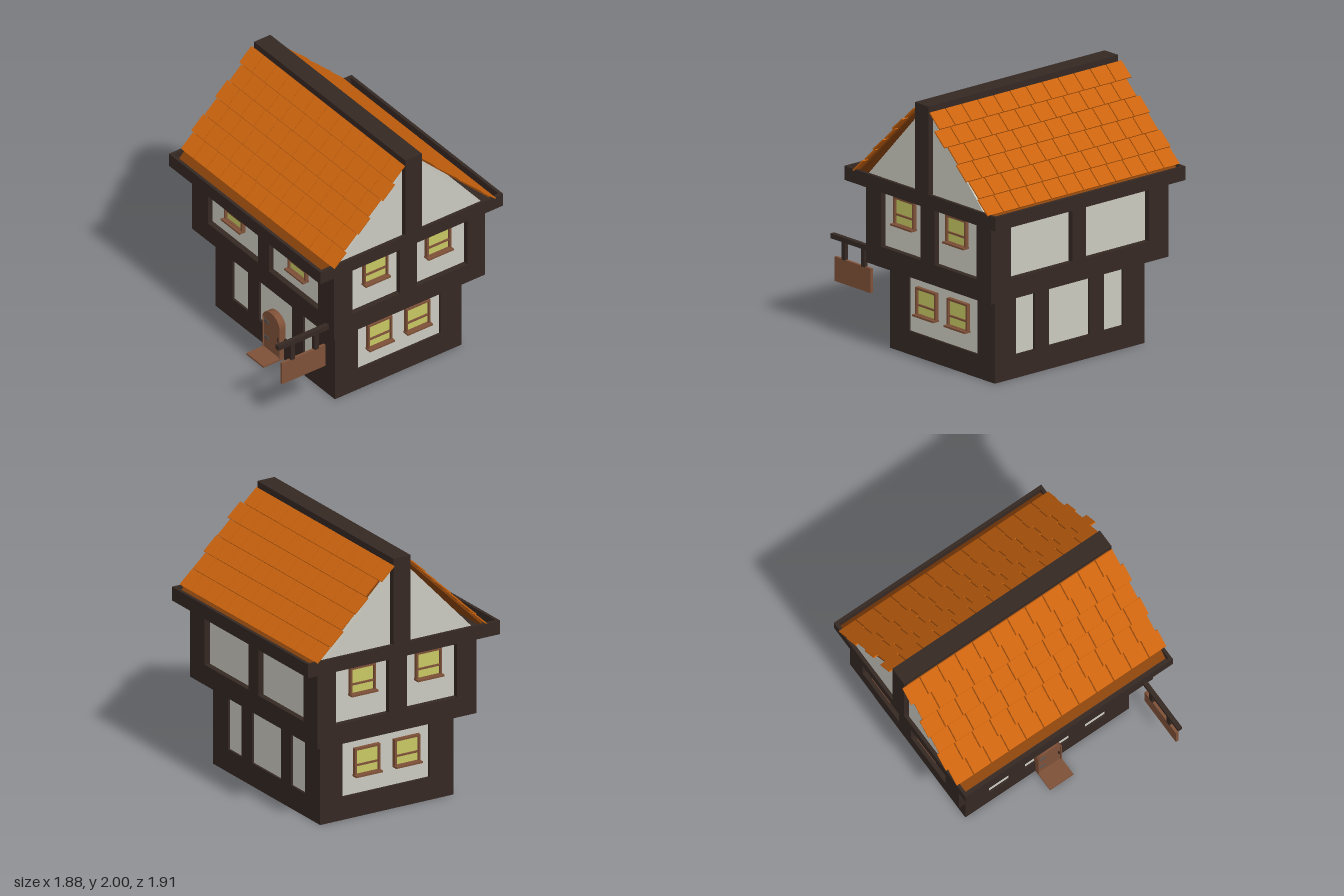
import * as THREE from 'three';

const mat = (color) => new THREE.MeshStandardMaterial({ color, flatShading: true });
const timber = mat(0x352823), plaster = mat(0xcbcac0), wood = mat(0x7f5138), glass = mat(0xc8c864);
const tile = mat(0xcc640e), sheathing = mat(0x8a430c), iron = mat(0x555555);

const CX = -0.0125, CZ = -0.158; // middle of the house

function add(parent, name, geometry, material) {
  const mesh = new THREE.Mesh(geometry, material);
  mesh.name = name;
  parent.add(mesh);
  return mesh;
}

// Box given by its limits on each axis
function box(parent, name, material, x0, x1, y0, y1, z0, z1) {
  const mesh = add(parent, name, new THREE.BoxGeometry(x1 - x0, y1 - y0, z1 - z0), material);
  mesh.position.set((x0 + x1) / 2, (y0 + y1) / 2, (z0 + z1) / 2);
  return mesh;
}

function rect(PathType, x0, x1, y0, y1) {
  return new PathType([[x0, y0], [x1, y0], [x1, y1], [x0, y1]].map(([x, y]) => new THREE.Vector2(x, y)));
}

function extrude(shape, depth) {
  return new THREE.ExtrudeGeometry(shape, { depth, bevelEnabled: false, curveSegments: 10 });
}

// Sash window facing +z, back on z = 0, lower edge on y = 0
function makeWindow() {
  const g = new THREE.Group();
  g.name = 'window';
  const w = 0.108, h = 0.215, b = 0.016;
  const frame = rect(THREE.Shape, -w, w, 0, h);
  frame.holes.push(rect(THREE.Path, -w + b, w - b, b, h - b));
  add(g, 'windowFrame', extrude(frame, 0.03), wood);
  box(g, 'windowPane', glass, -w + b, w - b, b, h - b, 0, 0.012);
  box(g, 'windowBar', wood, -w + b, w - b, 0.077, 0.09, 0, 0.024);
  box(g, 'windowSill', wood, -w - 0.004, w + 0.004, 0, 0.014, 0, 0.055);
  return g;
}

// One storey: plaster core behind four timber frames with openings
function makeStorey(name, o) {
  const g = new THREE.Group();
  g.name = name;
  const [x0, x1] = o.x, [z0, z1] = o.z, [y0, y1] = o.y, r = o.recess;
  const cx = (x0 + x1) / 2, cz = (z0 + z1) / 2, hx = (x1 - x0) / 2, hz = (z1 - z0) / 2;
  box(g, 'plasterInfill', plaster, x0 + r, x1 - r, y0 + 0.02, y1, z0 + r, z1 - r);
  box(g, 'floorTimber', timber, x0 + 0.002, x1 - 0.002, y0, y0 + 0.03, z0 + 0.002, z1 - 0.002);
  const walls = [
    { angle: 0, s: 1, c: cx, half: hx, out: hz, holes: o.frontHoles, windows: o.frontWindows },
    { angle: Math.PI, s: -1, c: cx, half: hx, out: hz, holes: o.frontHoles, windows: [] },
    { angle: Math.PI / 2, s: -1, c: cz, half: hz, out: hx, holes: o.sideHoles, windows: o.sideWindows },
    { angle: -Math.PI / 2, s: 1, c: cz, half: hz, out: hx, holes: o.sideHoles, windows: o.sideWindows },
  ];
  for (const w of walls) {
    const wall = new THREE.Group();
    wall.name = 'wall';
    wall.position.set(cx, 0, cz);
    wall.rotation.y = w.angle;
    const shape = rect(THREE.Shape, -w.half, w.half, y0, y1);
    for (const [a, b] of w.holes) {
      shape.holes.push(rect(THREE.Path, w.s * (a - w.c), w.s * (b - w.c), o.sill, y1 - 0.003));
    }
    const depth = r + 0.02;
    add(wall, 'timberFrame', extrude(shape, depth), timber).position.z = w.out - depth;
    for (const u of w.windows) {
      const win = makeWindow();
      win.position.set(w.s * (u - w.c), w === walls[0] ? o.frontWindowY : o.sideWindowY, w.out - r);
      wall.add(win);
    }
    g.add(wall);
  }
  return g;
}

// One roof slope, running from the ridge down towards +z, with six rows of tiles
function makeSlope(starts) {
  const g = new THREE.Group();
  g.name = 'roofSlope';
  const slope = new THREE.Group();
  slope.position.set(0, 1.95, 0.073);
  slope.rotation.x = 0.772;
  box(slope, 'roofBoards', sheathing, -0.8825, 0.8825, -0.012, 0, 0, 0.98);
  const rowLength = 0.149, pitch = 0.1535;
  starts.forEach((start, row) => {
    for (let i = 0; i < 12; i++) {
      const t = add(slope, 'roofTile', new THREE.BoxGeometry(pitch - 0.009, 0.01, rowLength - 0.003), tile);
      t.position.set(start + pitch * (i + 0.5), 0.009, rowLength * (row + 0.5));
      t.rotation.x = -0.03;
    }
  });
  g.add(slope);
  g.position.set(CX, 0, CZ);
  return g;
}

function archShape(w, h, inset) {
  const s = new THREE.Shape(), r = w - inset, spring = h - 0.09;
  s.moveTo(-r, inset ? 0.01 : 0);
  s.lineTo(r, inset ? 0.01 : 0);
  s.lineTo(r, spring);
  s.absellipse(0, spring, r, 0.09 - inset, 0, Math.PI, false, 0);
  return s;
}

function makeDoor() {
  const g = new THREE.Group();
  g.name = 'door';
  const frame = archShape(0.103, 0.36, 0);
  frame.holes.push(archShape(0.103, 0.36, 0.01));
  add(g, 'doorFrame', extrude(frame, 0.055), wood);
  add(g, 'doorLeaf', extrude(archShape(0.103, 0.36, 0.009), 0.046), wood);
  for (const y of [0.11, 0.25]) box(g, 'doorHinge', iron, -0.097, -0.035, y - 0.011, y + 0.011, 0.04, 0.05);
  box(g, 'doorHandle', timber, 0.075, 0.085, 0.152, 0.188, 0.04, 0.058);
  box(g, 'doorStep', wood, -0.103, 0.103, 0, 0.014, 0.02, 0.198);
  g.position.set(-0.013, 0, 0.383);
  return g;
}

function makeHangingSign() {
  const g = new THREE.Group();
  g.name = 'hangingSign';
  box(g, 'signBeam', timber, 0.74, 0.775, 0.703, 0.74, 0.49, 0.955);
  for (const z of [0.595, 0.805]) box(g, 'signHanger', timber, 0.743, 0.772, 0.57, 0.71, z, z + 0.037);
  box(g, 'signBoard', wood, 0.747, 0.768, 0.39, 0.573, 0.533, 0.918);
  return g;
}

export function createModel() {
  const house = new THREE.Group();
  house.name = 'timberHouse';

  house.add(makeStorey('lowerStorey', {
    x: [-0.728, 0.702], y: [0, 0.66], z: [-0.727, 0.4], recess: 0.017, sill: 0.175,
    frontHoles: [[-0.522, -0.34], [-0.205, 0.185], [0.32, 0.5]], frontWindows: [],
    sideHoles: [[-0.54, 0.195]], sideWindows: [-0.333, 0.005], sideWindowY: 0.312,
  }));
  house.add(makeStorey('upperStorey', {
    x: [-0.862, 0.836], y: [0.645, 1.24], z: [-0.835, 0.508], recess: 0.043, sill: 0.8,
    frontHoles: [[-0.675, -0.075], [0.055, 0.642]], frontWindows: [-0.392, 0.368], frontWindowY: 0.93,
    sideHoles: [[-0.68, -0.23], [-0.08, 0.345]], sideWindows: [-0.438, 0.12], sideWindowY: 0.988,
  }));

  // Eaves: a floor with a raised rim around the foot of the roof
  const [ex0, ex1, ez0, ez1] = [-0.92, 0.895, -0.952, 0.672];
  const eaves = new THREE.Group();
  eaves.name = 'eaves';
  box(eaves, 'eavesFloor', timber, ex0, ex1, 1.235, 1.265, ez0, ez1);
  for (const z of [ez0, ez1 - 0.024]) box(eaves, 'eavesRim', timber, ex0, ex1, 1.235, 1.34, z, z + 0.024);
  for (const x of [ex0, ex1 - 0.024]) box(eaves, 'eavesRim', timber, x, x + 0.024, 1.235, 1.34, ez0, ez1);
  house.add(eaves);

  // Gables and ridge
  const gable = new THREE.Shape([[-0.69, 1.25], [0.69, 1.25], [0, 1.98]].map(([x, y]) => new THREE.Vector2(x, y)));
  const attic = add(house, 'gableWalls', extrude(gable, 1.73), plaster);
  attic.rotation.y = Math.PI / 2;
  attic.position.set(CX - 0.865, 0, CZ);
  box(house, 'ridgeAndGablePosts', timber, ex0, ex1, 1.26, 2, -0.23, -0.085);

  // Tiled slopes
  house.add(makeSlope([-0.932, -0.908, -0.932, -0.915, -0.932, -0.912]));
  const back = makeSlope([-0.907, -0.955, -0.922, -0.937, -0.914, -0.922]);
  back.rotation.y = Math.PI;
  house.add(back);

  house.add(makeDoor(), makeHangingSign());
  return house;
}
